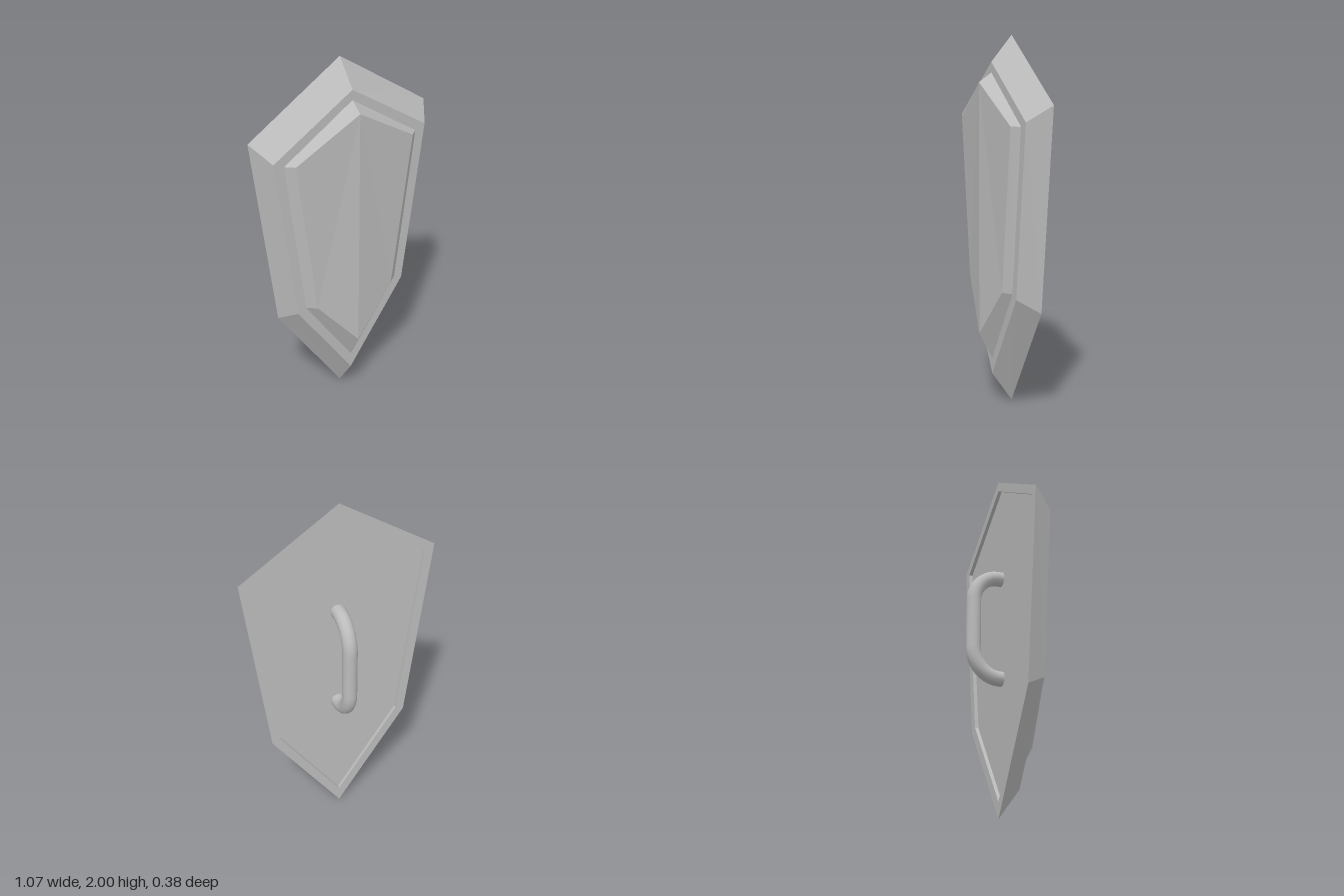
import * as THREE from 'three';

// Mirrored six-point outline: top, upper corner, lower corner, bottom as [x, y, z]
function ring(top, upper, lower, bottom) {
  const flip = ([x, y, z]) => [-x, y, z];
  return [top, flip(upper), flip(lower), bottom, lower, upper];
}

const flatRing = (z, top, upper, lower, bottom) =>
  ring([0, top, z], [...upper, z], [...lower, z], [0, bottom, z]);

// Faceted skin through rings ordered back to front, with optional end caps
function loft(rings, backCap, frontCap) {
  const pos = [];
  const tri = (a, b, c) => pos.push(...a, ...b, ...c);
  for (let r = 0; r < rings.length - 1; r++) {
    const a = rings[r], b = rings[r + 1];
    for (let i = 0; i < 6; i++) {
      const j = (i + 1) % 6;
      tri(a[i], a[j], b[j]);
      tri(a[i], b[j], b[i]);
    }
  }
  // Caps are creased down the centre line
  const capTris = [[0, 1, 2], [0, 2, 3], [0, 3, 4], [0, 4, 5]];
  if (backCap) for (const [i, j, k] of capTris) tri(rings[0][i], rings[0][k], rings[0][j]);
  const f = rings[rings.length - 1];
  if (frontCap) for (const [i, j, k] of capTris) tri(f[i], f[j], f[k]);
  const g = new THREE.BufferGeometry();
  g.setAttribute('position', new THREE.Float32BufferAttribute(pos, 3));
  g.computeVertexNormals();
  return g;
}

export function createModel() {
  const group = new THREE.Group();
  const metal = new THREE.MeshStandardMaterial({ color: 0xbcbcbc });
  metal.name = 'greyMetal';
  const add = (name, geometry) => {
    const m = new THREE.Mesh(geometry, metal);
    m.name = name;
    group.add(m);
  };

  const inner = [1.94, [0.481, 1.63], [0.352, 0.604], 0.089];
  const bossBase = flatRing(0.115, 1.805, [0.4, 1.545], [0.29, 0.675], 0.255);

  // Shield body: recessed back panel, back rim, bevelled sides, front rim
  add('shieldBody', loft([
    flatRing(0.02, ...inner),
    flatRing(0, ...inner),
    flatRing(0, 2, [0.535, 1.655], [0.4, 0.585], 0),
    flatRing(0.115, 1.86, [0.46, 1.57], [0.34, 0.655], 0.165),
    bossBase,
  ], true, false));

  // Raised front panel with a central ridge
  add('raisedPanel', loft([
    bossBase,
    ring([0, 1.755, 0.185], [0.355, 1.545, 0.153], [0.24, 0.675, 0.153], [0, 0.4, 0.19]),
  ], false, true));

  // Grip: straight bar with a quarter bend at each end
  const v = (y, z) => new THREE.Vector3(0, y, z);
  const path = new THREE.CurvePath();
  path.add(new THREE.LineCurve3(v(1.36, 0.03), v(1.36, 0)));
  path.add(new THREE.CubicBezierCurve3(v(1.36, 0), v(1.36, -0.08), v(1.288, -0.145), v(1.2, -0.145)));
  path.add(new THREE.LineCurve3(v(1.2, -0.145), v(0.92, -0.145)));
  path.add(new THREE.CubicBezierCurve3(v(0.92, -0.145), v(0.832, -0.145), v(0.76, -0.08), v(0.76, 0)));
  path.add(new THREE.LineCurve3(v(0.76, 0), v(0.76, 0.03)));
  add('handle', new THREE.TubeGeometry(path, 40, 0.041, 12, false));

  return group;
}
